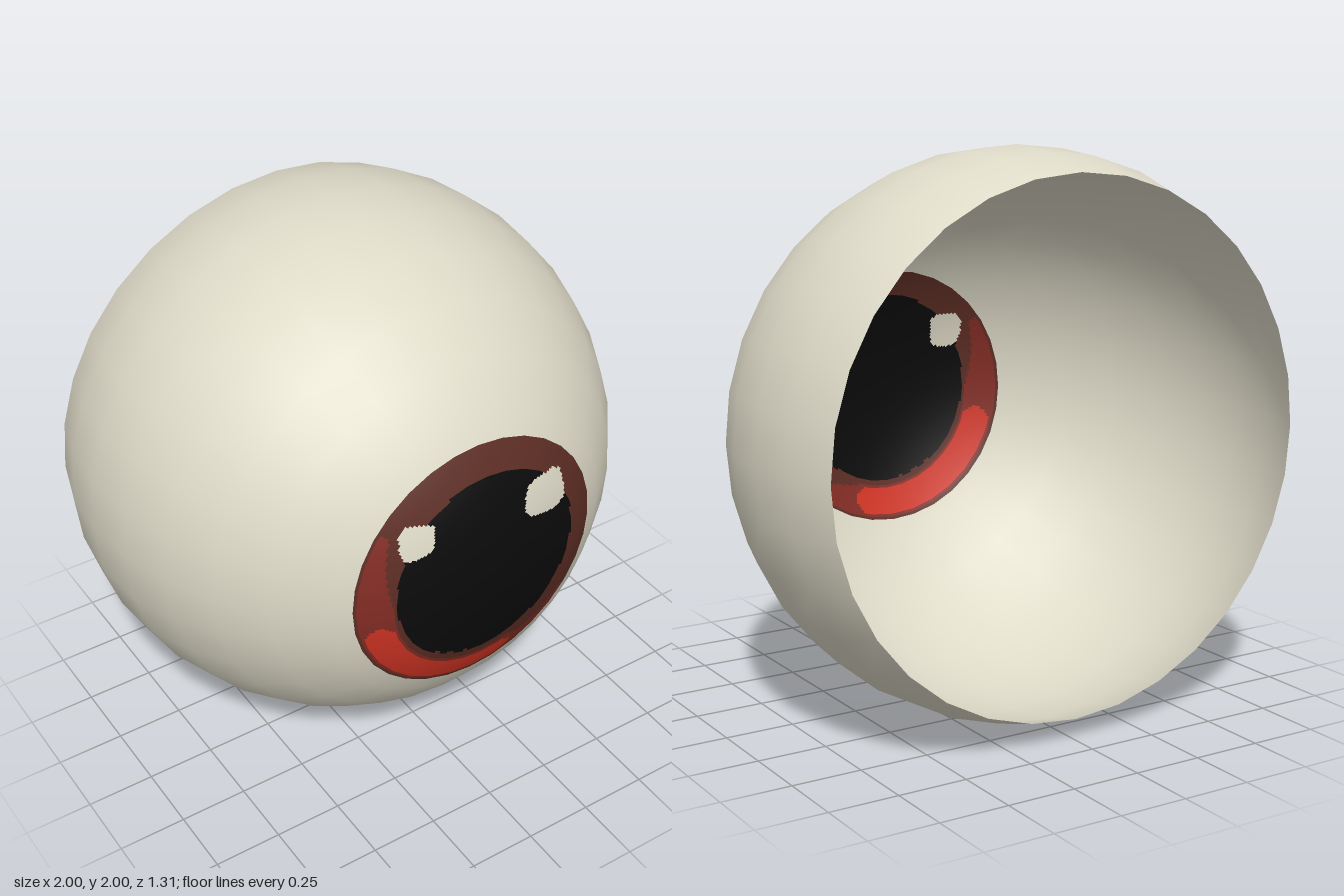
import * as THREE from 'three';

const SEG = 32;                       // facets round the eyeball
const STEP = Math.PI / 16;            // angle between its rings
const CENTRE = new THREE.Vector3(0, 1, -0.27);
const FLAT = Math.sin(2 * STEP);      // radius of the flat cornea
const EDGE = Math.sin(3 * STEP);      // radius where the painted cap meets the shell
const COLS = 256, ROWS = 56;          // fine grid that carries the painted iris

const material = (name, color) => {
  const m = new THREE.MeshStandardMaterial({ color, side: THREE.DoubleSide });
  m.name = name;
  return m;
};

// Smooth normals pointing away from the eyeball's centre
function roundNormals(geometry) {
  const p = geometry.attributes.position;
  const normals = [];
  const v = new THREE.Vector3();
  for (let i = 0; i < p.count; i++) {
    v.fromBufferAttribute(p, i).normalize();
    normals.push(v.x, v.y, v.z);
  }
  geometry.setAttribute('normal', new THREE.Float32BufferAttribute(normals, 3));
  return geometry;
}

// Squarish blob test for the catchlights
const inBlob = (x, y, cx, cy, r) =>
  Math.abs((x - cx) / r) ** 3 + Math.abs((y - cy) / r) ** 3 < 1;

// Which paint covers a point of the cap (x, y measured from the eye's axis)
// 0 sclera, 1 iris, 2 iris glow, 3 bright glow, 4 pupil
function paintAt(x, y) {
  const r = Math.hypot(x, y);
  const deg = (THREE.MathUtils.radToDeg(Math.atan2(y, x)) + 360) % 360;
  if (r > 0.487) return 0;
  if (inBlob(x, y, -0.27, 0.235, 0.066) || inBlob(x, y, 0.245, 0.225, 0.083)) return 0;
  if (((x - 0.008) / 0.36) ** 2 + ((y - 0.028) / 0.366) ** 2 < 1) return 4;

  // Bright arc with rounded ends
  const a = THREE.MathUtils.degToRad(THREE.MathUtils.clamp(deg, 198, 283));
  if (Math.hypot(x - 0.421 * Math.cos(a), y - 0.421 * Math.sin(a)) < 0.047) return 3;

  // Wider crescent, tapering towards both ends
  if (deg > 144 && deg < 325) {
    const toEnd = Math.min(deg - 144, 325 - deg);
    const inner = THREE.MathUtils.lerp(0.445, 0.36, Math.min(toEnd / 38, 1));
    if (r > inner && r < 0.476) return 2;
  }
  return 1;
}

// Front cap: flat cornea plus the first sloping ring, faces grouped by paint
function capGeometry() {
  const positions = [];
  const facet = 2 * Math.PI / SEG;
  for (let i = 0; i <= ROWS; i++) {
    // Rows fall exactly on the fold between cornea and slope
    const fold = 38;
    const r = i <= fold ? FLAT * i / fold
      : THREE.MathUtils.lerp(FLAT, EDGE, (i - fold) / (ROWS - fold));
    const z = i <= fold ? Math.cos(2 * STEP)
      : THREE.MathUtils.lerp(Math.cos(2 * STEP), Math.cos(3 * STEP), (i - fold) / (ROWS - fold));
    for (let j = 0; j <= COLS; j++) {
      const a = j / COLS * 2 * Math.PI;
      // Pull points onto the straight sides of the facets
      const local = a % facet - facet / 2;
      const s = r * Math.cos(facet / 2) / Math.cos(local);
      positions.push(s * Math.cos(a), s * Math.sin(a), z);
    }
  }
  const faces = [[], [], [], [], []];
  for (let i = 0; i < ROWS; i++) {
    for (let j = 0; j < COLS; j++) {
      const a = i * (COLS + 1) + j, b = a + COLS + 1;
      const x = (positions[a * 3] + positions[(b + 1) * 3]) / 2;
      const y = (positions[a * 3 + 1] + positions[(b + 1) * 3 + 1]) / 2;
      const list = faces[paintAt(x, y)];
      list.push(a, b, b + 1);
      if (i > 0) list.push(a, b + 1, a + 1);
    }
  }
  const geometry = new THREE.BufferGeometry();
  geometry.setAttribute('position', new THREE.Float32BufferAttribute(positions, 3));
  geometry.setIndex(faces.flat());
  let start = 0;
  faces.forEach((list, k) => {
    geometry.addGroup(start, list.length, k);
    start += list.length;
  });
  return roundNormals(geometry);
}

// Eyeball shell, open at the back
function shellGeometry() {
  const profile = [];
  for (let k = 10; k >= 3; k--) {
    profile.push(new THREE.Vector2(Math.sin(k * STEP), Math.cos(k * STEP)));
  }
  return roundNormals(new THREE.LatheGeometry(profile, SEG).rotateX(Math.PI / 2));
}

export function createModel() {
  const sclera = material('sclera ivory', 0xdedac8);
  const paints = [
    sclera,
    material('iris brown', 0x5c2d24),
    material('iris glow red', 0x822c24),
    material('bright glow red', 0xcf3323),
    material('pupil black', 0x0b0b0b),
  ];

  const eye = new THREE.Group();
  eye.name = 'eyeball';

  const shell = new THREE.Mesh(shellGeometry(), sclera);
  shell.name = 'openShell';

  const cap = new THREE.Mesh(capGeometry(), paints);
  cap.name = 'paintedIrisCap';

  eye.add(shell, cap);
  eye.position.copy(CENTRE);

  const model = new THREE.Group();
  model.name = 'eye';
  model.add(eye);
  return model;
}
